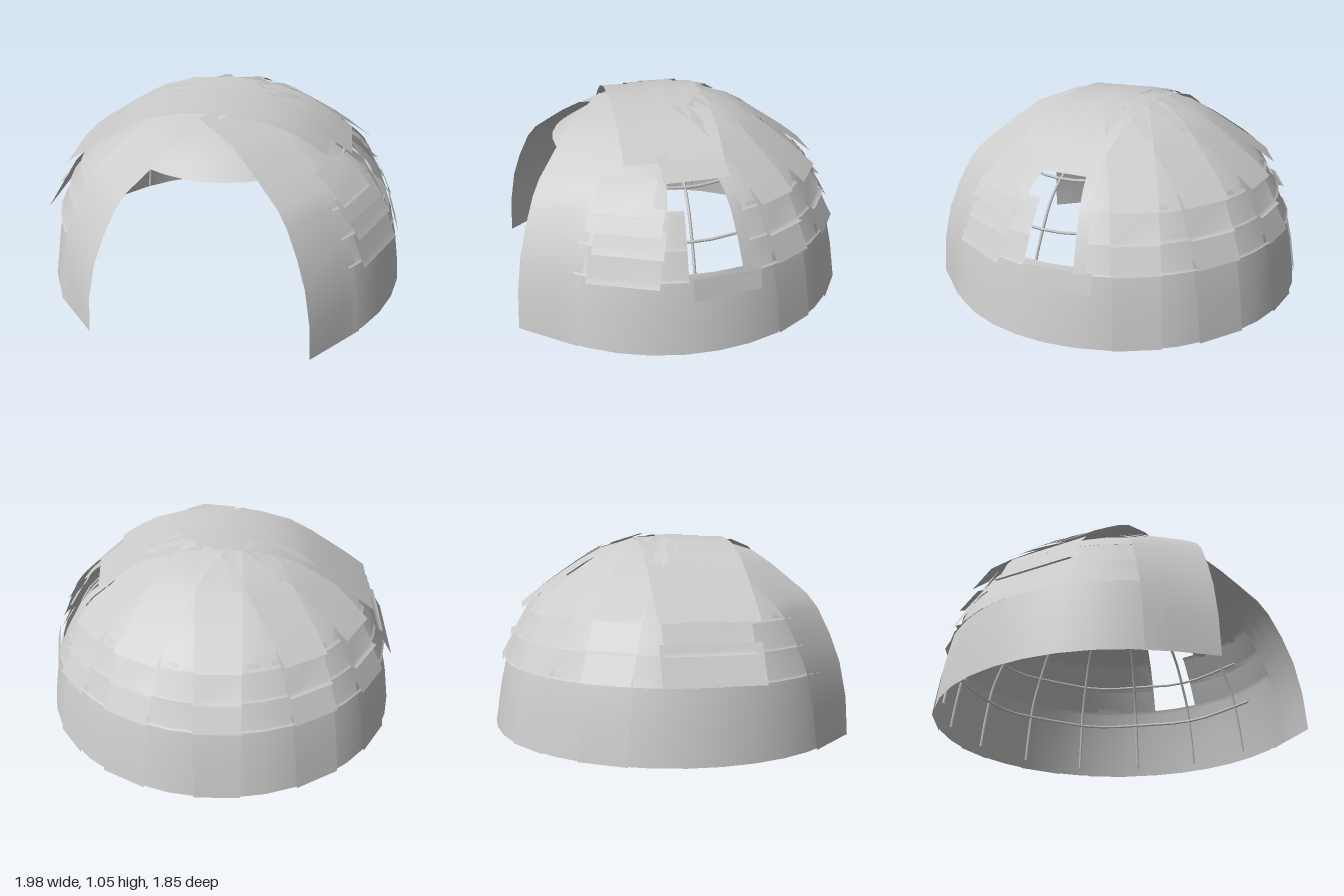
import * as THREE from 'three';

const CZ = 0.06; // dome axis
// dome profile as [radius, height], from crown to ground
const P = [[0, 1.015], [0.2, 1.0], [0.38, 0.95], [0.5, 0.885], [0.6, 0.82], [0.72, 0.74],
  [0.785, 0.67], [0.86, 0.54], [0.92, 0.4], [0.96, 0.22], [0.99, 0.015]];
const rad = THREE.MathUtils.degToRad;

// part of the profile between two heights
function slice(top, bottom) {
  const at = y => {
    for (let i = 1; i < P.length; i++) {
      const [r0, y0] = P[i - 1], [r1, y1] = P[i];
      if (y <= y0 && y >= y1) return [r0 + (r1 - r0) * (y0 - y) / (y0 - y1), y];
    }
    return P[0];
  };
  return [at(top), ...P.filter(p => p[1] < top - 0.005 && p[1] > bottom + 0.005), at(bottom)];
}

// raise a profile off the dome, flaring its last point outwards
function raise(points, lift, flare = 0) {
  return points.map(([r, y], i) => [
    r + lift * r * 0.7 + (i === points.length - 1 ? flare : 0), y + lift * Math.max(0, (y - 0.3) / 0.7)]);
}

// sheet that bends along a path and is straight across, s0..s1 beside the direction angle
function sheetGeometry(path, angle, s0, s1) {
  const a = rad(angle), pos = [], idx = [];
  path.forEach(([r, y], i) => {
    for (const s of [s0, s1])
      pos.push(Math.sin(a) * r + Math.cos(a) * s, y, CZ + Math.cos(a) * r - Math.sin(a) * s);
    if (i) {
      const k = i * 2;
      idx.push(k - 2, k, k - 1, k - 1, k, k + 1);
    }
  });
  const g = new THREE.BufferGeometry();
  g.setAttribute('position', new THREE.Float32BufferAttribute(pos, 3));
  g.setIndex(idx);
  g.computeVertexNormals();
  return g;
}

export function createModel() {
  const model = new THREE.Group();
  const hide = new THREE.MeshStandardMaterial({ color: 0xcccccc, side: THREE.DoubleSide });
  hide.name = 'greyHide';
  const add = (name, geometry) => {
    const m = new THREE.Mesh(geometry, hide);
    m.name = name;
    model.add(m);
    return m;
  };
  const sheet = (name, path, angle, s0, s1) => add(name, sheetGeometry(path, angle, s0, s1));
  const shell = (name, path, from, to) => {
    const g = new THREE.LatheGeometry(path.map(p => new THREE.Vector2(...p)),
      Math.max(2, Math.round((to - from) / 10)), rad(from), rad(to - from));
    add(name, g).position.z = CZ;
  };

  // closed crown, then wall tiers with a doorway at the front and a window on the left
  shell('crown', slice(1.015, 0.82), 0, 360);
  shell('lowerWall', slice(0.42, 0.015), 47, 313);
  for (const [top, bottom] of [[0.83, 0.66], [0.69, 0.53], [0.56, 0.39]]) {
    const path = raise(slice(top, bottom), 0.01, 0.012);
    const gap = bottom > 0.6 ? [82, 108] : [88, 106];
    shell('wallBesideDoor', path, 47, gap[0]);
    shell('wallBehindWindow', path, gap[1], 313);
  }

  // flat overlapping hide strips round the back, in four tiers
  const strips = [[180, 0.12], [150, 0.13], [124, 0.12], [-148, 0.13], [-120, 0.13]];
  strips.forEach(([angle, half], i) => {
    const j = (i % 3) * 0.004;
    sheet('roofStrip', raise(slice(1.0, 0.665), 0.035 + j, 0.03), angle, -half, half);
    sheet('upperStrip', raise(slice(0.72, 0.53), 0.02 + j, 0.025), angle, -half, half);
    sheet('middleStrip', raise(slice(0.58, 0.395), 0.015 + j, 0.02), angle, -half, half);
    sheet('lowerStrip', raise(slice(0.44, 0.015), 0.002), angle, -half, half);
    // narrow folds around the smoke hole
    sheet('crownFold', raise(slice(1.0, 0.9), 0.05 + j), angle + 12, -0.03, 0.02);
  });

  // side strips: right side to the lower tier
  for (const [top, bottom, s0, s1] of [[0.72, 0.53, -0.2, 0.25], [0.58, 0.395, -0.22, 0.29]])
    sheet('rightSideStrip', raise(slice(top, bottom), 0.02, 0.025), -90, s0, s1);

  // long strips draped over the crown from the right side to above the window
  const ridge = [[-0.22, -0.08, 0.035], [-0.1, 0.06, 0.045], [0.02, 0.15, 0.04], [0.12, 0.29, 0.032]];
  for (const [s0, s1, lift] of ridge) {
    const right = raise(slice(1.015, 0.67), lift, 0.03).reverse();
    const left = raise(slice(1.0, 0.845), lift).map(([r, y]) => [-r, y]);
    sheet('ridgeStrip', [...right, ...left], -90, s0, s1);
  }

  // door flaps: layered bands from the crown down to the ground
  const full = slice(1.005, 0.015);
  for (const [angle, shift] of [[52, 0], [-46, 0.08]]) {
    const side = Math.sign(angle);
    for (const [s0, s1, lift] of [[-0.31, -0.05, 0.03], [-0.2, 0.0, 0.022], [-0.12, 0.05, 0.012]]) {
      const path = raise(full, lift).map(([r, y]) => [y < 0.3 ? Math.min(r, 0.995) : r, y]);
      sheet('doorFlap', path, angle, side * (s0 + shift), side * (s1 + shift));
    }
  }

  // planks between the door and the window, sill and post of the window
  for (const [top, bottom, s0, s1] of [[0.8, 0.66, -0.17, 0.12], [0.7, 0.59, -0.2, 0.18], [0.62, 0.5, -0.16, 0.2], [0.53, 0.37, -0.18, 0.19]])
    sheet('sidePlank', raise(slice(top, bottom), 0.025, 0.012), 68, s0, s1);
  sheet('windowSill', raise(slice(0.41, 0.3), 0.015), 100, -0.18, 0.18);
  sheet('windowPost', raise(slice(0.84, 0.38), 0.03), 107, -0.03, 0.03);
  sheet('windowHeader', raise(slice(0.87, 0.78), 0.04), 95, -0.17, 0.17);

  // inner pole frame: bent uprights and horizontal hoops
  const tube = (name, pts) => add(name, new THREE.TubeGeometry(new THREE.CatmullRomCurve3(pts), 32, 0.008, 5));
  const inside = (r, y, deg) => new THREE.Vector3(Math.sin(rad(deg)) * (r - 0.04), y, CZ + Math.cos(rad(deg)) * (r - 0.04));
  for (let deg = 68; deg <= 292; deg += 22.4)
    tube('upright', slice(0.9, 0.05).map(([r, y]) => inside(r, y - 0.015 * (y > 0.5), deg)));
  for (const y of [0.32, 0.55, 0.765]) {
    const r = slice(y, 0.015)[0][0];
    tube('hoop', Array.from({ length: 21 }, (_, i) => inside(r, y + 0.006 * Math.sin(i * 1.9), 60 + i * 12)));
  }
  return model;
}
